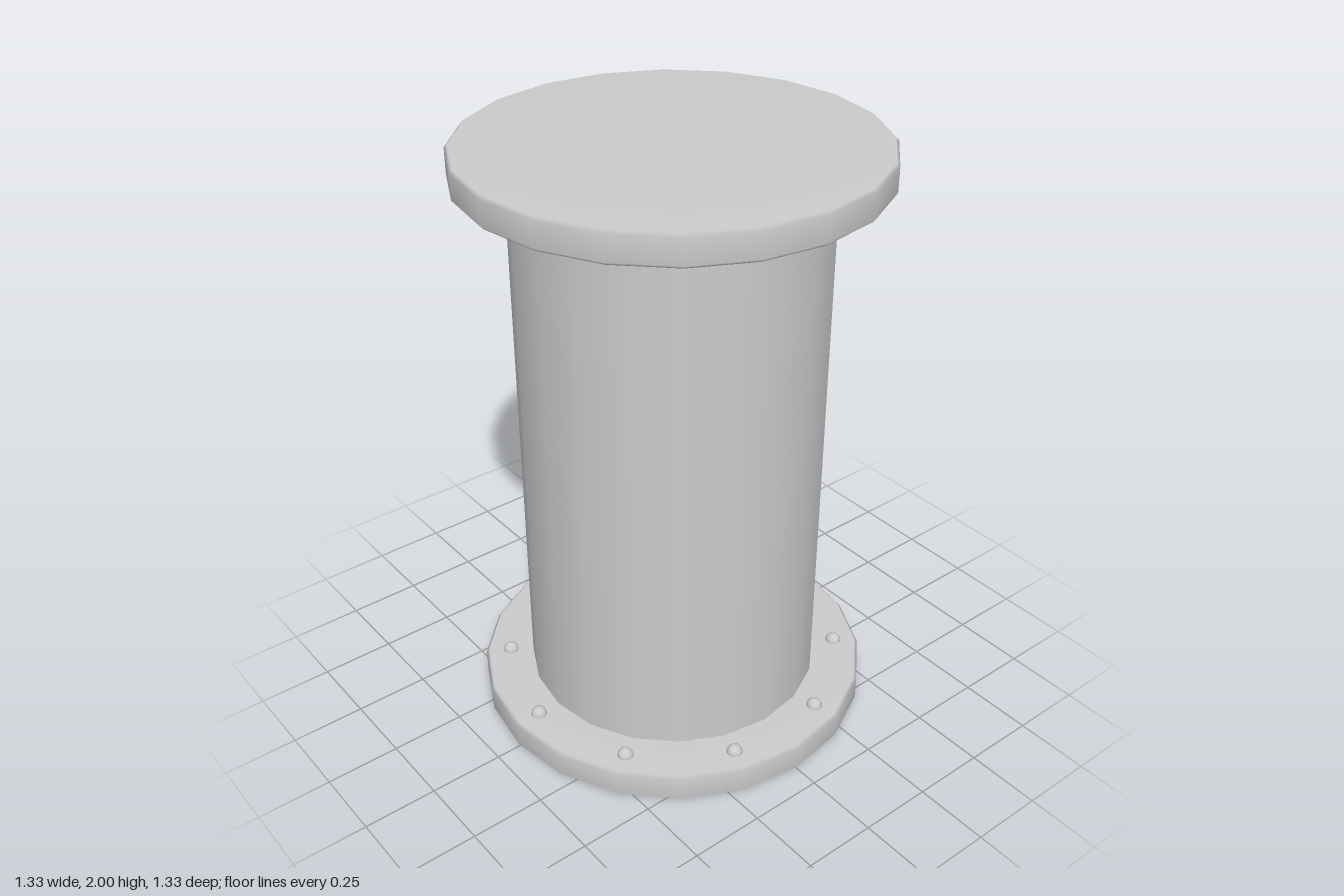
import * as THREE from 'three';

const SIDES = 20;
const HEIGHT = 2;
const FLANGE_RADIUS = 0.667;
const FLANGE_THICKNESS = 0.1;
const BARREL_RADIUS = 0.5;
const BOLT_CIRCLE = 0.58;
const BOLT_RADIUS = 0.027;
const BOLT_COUNT = 10;

export function createModel() {
  const model = new THREE.Group();
  model.name = 'flangedPipe';
  const material = new THREE.MeshStandardMaterial({ color: 0xcccccc });

  const addMesh = (parent, name, geometry, x, y, z) => {
    const mesh = new THREE.Mesh(geometry, material);
    mesh.name = name;
    mesh.position.set(x, y, z);
    parent.add(mesh);
  };

  // Barrel between the two flanges
  const barrelHeight = HEIGHT - 2 * FLANGE_THICKNESS;
  const barrel = new THREE.CylinderGeometry(BARREL_RADIUS, BARREL_RADIUS, barrelHeight, SIDES, 1, true);
  addMesh(model, 'barrel', barrel, 0, HEIGHT / 2, 0);

  // Flange disc with a small softened rim
  const r = FLANGE_RADIUS, h = FLANGE_THICKNESS, bevel = 0.01;
  const profile = [
    [0, 0], [0.45, 0], [r - bevel, 0], [r, bevel],
    [r, h - bevel], [r - bevel, h], [0.45, h], [0, h],
  ].map(([x, y]) => new THREE.Vector2(x, y));
  const flange = new THREE.LatheGeometry(profile, SIDES);
  const bolt = new THREE.SphereGeometry(BOLT_RADIUS, 12, 8);

  // Each end has a flange and a ring of round bolts on its inner face
  for (const [name, base, boltY] of [
    ['bottom', 0, FLANGE_THICKNESS],
    ['top', HEIGHT - FLANGE_THICKNESS, HEIGHT - FLANGE_THICKNESS],
  ]) {
    addMesh(model, `${name}Flange`, flange, 0, base, 0);
    const bolts = new THREE.Group();
    bolts.name = `${name}Bolts`;
    for (let i = 0; i < BOLT_COUNT; i++) {
      const angle = (i / BOLT_COUNT) * Math.PI * 2;
      addMesh(bolts, 'bolt', bolt, Math.cos(angle) * BOLT_CIRCLE, boltY, Math.sin(angle) * BOLT_CIRCLE);
    }
    model.add(bolts);
  }

  return model;
}
